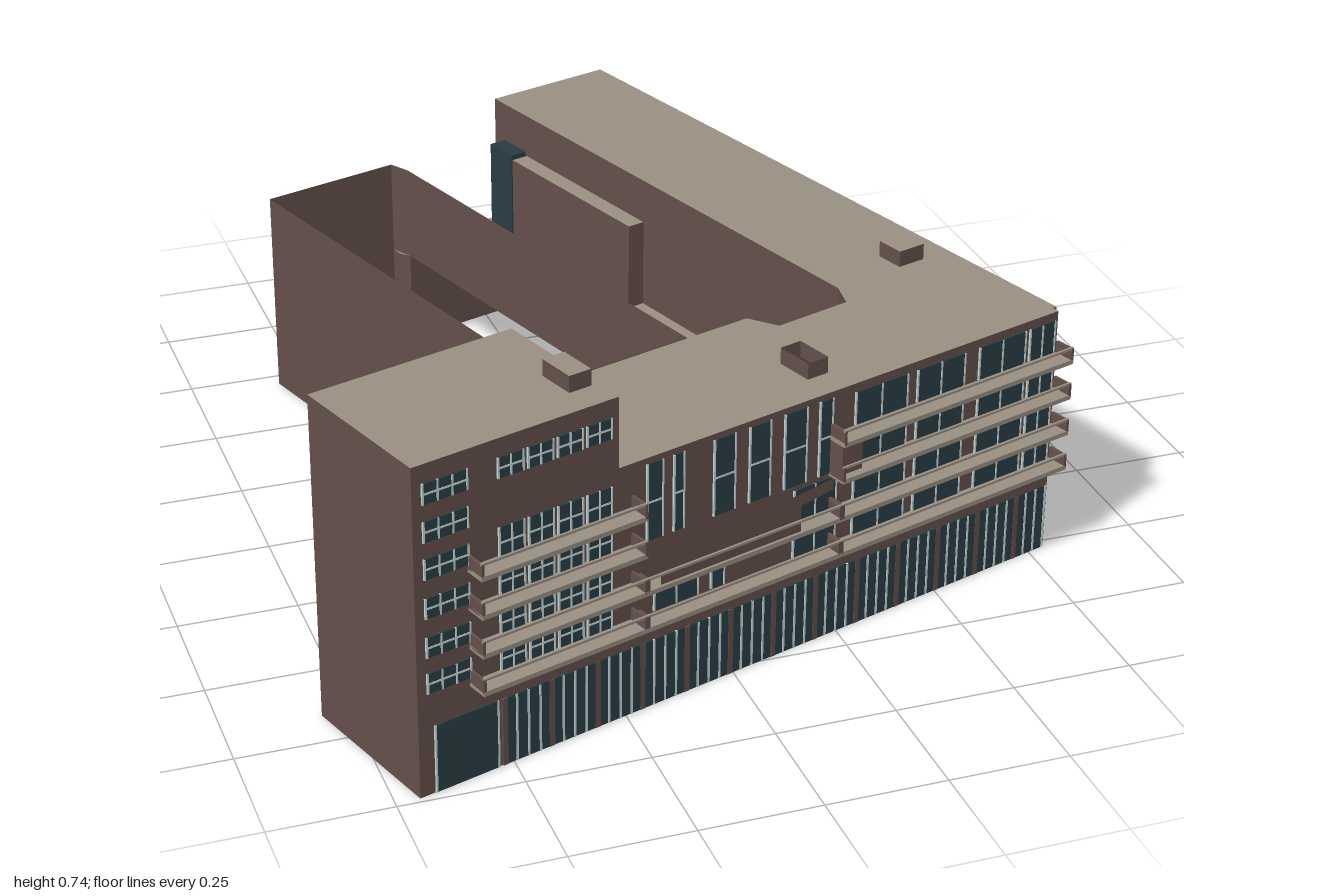
import * as THREE from 'three';

const mat = (name, color, side = THREE.FrontSide) => {
  const m = new THREE.MeshStandardMaterial({ color, side });
  m.name = name;
  return m;
};

export function createModel() {
  const brick = mat('brick', 0x64504b, THREE.DoubleSide);
  const stone = mat('roof stone', 0x9a9083, THREE.DoubleSide);
  const glass = mat('dark glass', 0x293d45);
  const frame = mat('pale frame', 0xc6d4d4);

  const model = new THREE.Group();
  model.name = 'building';
  const block = new THREE.Group();
  block.name = 'block';
  block.rotation.y = 0.3046; // the plan is turned on the site
  model.add(block);

  const add = (parent, name, geo, material, x = 0, y = 0, z = 0) => {
    const m = new THREE.Mesh(geo, material);
    m.name = name;
    m.position.set(x, y, z);
    parent.add(m);
    return m;
  };
  const box = (parent, name, material, w, h, d, x, y, z) =>
    add(parent, name, new THREE.BoxGeometry(w, h, d), material, x, y, z);

  // thin upright walls along a path of [x, z] points
  const walls = (name, pts, y0, y1) => {
    for (let i = 0; i < pts.length - 1; i++) {
      const [ax, az] = pts[i], [bx, bz] = pts[i + 1];
      const geo = new THREE.PlaneGeometry(Math.hypot(bx - ax, bz - az), y1 - y0);
      const m = add(block, name, geo, brick, (ax + bx) / 2, (y0 + y1) / 2, (az + bz) / 2);
      m.rotation.y = -Math.atan2(bz - az, bx - ax);
    }
  };
  const outline = (pts) => pts.map(([x, z]) => new THREE.Vector2(x, -z));
  const roof = (name, pts, y, hole) => {
    const shape = new THREE.Shape(outline(pts));
    if (hole) shape.holes.push(new THREE.Path(outline(hole)));
    add(block, name, new THREE.ShapeGeometry(shape).rotateX(-Math.PI / 2), stone, 0, y, 0);
  };
  const rect = (x, z, w, d) =>
    [[x - w / 2, z - d / 2], [x + w / 2, z - d / 2], [x + w / 2, z + d / 2], [x - w / 2, z + d / 2]];

  // L-shaped main block
  const inner = [[0.305, -0.857], [0.305, 0.387], [0.277, 0.447], [0.1, 0.45], [0.067, 0.385], [-0.32, 0.385]];
  const openVent = rect(0.022, 0.623, 0.05, 0.085);
  walls('frontWall', [[-0.51, 0.733], [0.597, 0.733]], 0, 0.55);
  walls('eastWall', [[0.608, 0.7155], [0.608, -0.857], [0.305, -0.857]], 0, 0.55);
  walls('courtyardWall', inner, 0.25, 0.55);
  walls('rearWall', [[-0.32, 0.385], [-0.51, 0.385]], 0, 0.55);
  roof('mainRoof', [[-0.51, 0.733], [0.597, 0.733], [0.597, 0.7155], [0.608, 0.7155], [0.608, -0.857],
    ...inner, [-0.51, 0.385]], 0.55, openVent);

  // tower at the west end
  walls('towerWall', [[-0.51, 0.733], [-0.966, 0.733], [-0.966, 0.388], [-0.51, 0.388]], 0, 0.7);
  walls('towerUpperWall', [[-0.51, 0.388], [-0.51, 0.733]], 0.55, 0.7);
  roof('towerRoof', [[-0.966, 0.388], [-0.51, 0.388], [-0.51, 0.733], [-0.966, 0.733]], 0.7);

  // low courtyard roof, with a narrow gap beside the wing, and its end walls
  roof('courtyardRoof', [[0.0075, -0.857], [0.605, -0.857], [0.605, 0.3], [0.3, 0.4], [0.277, 0.447],
    [0.1, 0.45], [0.067, 0.385], [-0.32, 0.385], [-0.28, 0.25], [0.02, 0.245], [0.02, -0.795], [0.0075, -0.82]],
  0.25, [[0.268, 0.068], [0.29, 0.1], [0.303, 0.29], [0.28, 0.2]]);
  walls('courtyardEndWall', [[0.305, -0.857], [0.0075, -0.857], [0.0075, -0.82], [0.02, -0.795]], 0, 0.25);
  walls('annexWall', [[-0.28, 0.25], [-0.32, 0.385]], 0, 0.25);
  walls('courtyardScreen', [[0.305, -0.73], [0.265, -0.73], [0.265, -0.28], [0.305, -0.28]], 0.25, 0.45);
  roof('courtyardScreenRoof', [[0.265, -0.73], [0.305, -0.73], [0.305, -0.28], [0.265, -0.28]], 0.45);
  box(block, 'courtyardWindow', glass, 0.04, 0.2, 0.085, 0.284, 0.36, -0.775);
  walls('courtyardShaft', [[-0.037, 0.385], [-0.037, 0.345], [0.02, 0.345], [0.02, 0.385]], 0.25, 0.47);
  box(block, 'shaftSkylight', glass, 0.057, 0.008, 0.04, -0.0085, 0.47, 0.365);

  // roofless walled yard
  walls('yardWall', [[0.0075, -0.845], [-0.315, -0.845], [-0.315, 0.25]], 0, 0.465);
  walls('yardInnerWall', [[-0.315, 0.25], [0.02, 0.25], [0.02, -0.795], [0.0075, -0.845]], 0.25, 0.465);

  // rooftop vents; the middle one is open
  const vent = (pts, y, capped) => {
    walls('roofVent', [...pts, pts[0]], y, y + 0.035);
    if (capped) roof('roofVentCap', pts, y + 0.035);
  };
  vent(rect(-0.55, 0.625, 0.05, 0.085), 0.7, true);
  vent(rect(0.505, 0.353, 0.065, 0.065), 0.55, true);
  vent(openVent, 0.55, false);

  // facades: plates straddle the wall so they show inside and out
  const front = new THREE.Group();
  front.name = 'frontFacade';
  front.position.z = 0.733;
  const east = new THREE.Group();
  east.name = 'eastFacade';
  east.position.x = 0.608;
  east.rotation.y = Math.PI / 2;
  block.add(front, east);

  // framed window: upright frames at both sides and between panes
  const win = (g, x0, x1, y, h, panes, bar = false) => {
    const w = x1 - x0;
    box(g, 'windowGlass', glass, w, h, 0.006, (x0 + x1) / 2, y, 0);
    for (let i = 0; i <= panes; i++)
      box(g, 'windowMullion', frame, 0.004, h, 0.008, x0 + (w * i) / panes, y, 0);
    if (bar) box(g, 'windowBar', frame, w, 0.004, 0.008, (x0 + x1) / 2, y, 0);
  };
  // ground floor glazing with mullions and brick piers
  const shopfront = (g, x0, x1, step) => {
    box(g, 'groundGlazing', glass, x1 - x0, 0.147, 0.006, (x0 + x1) / 2, 0.0745, 0);
    const n = Math.round((x1 - x0) / step);
    for (let i = 0; i <= n; i++) {
      const x = x0 + ((x1 - x0) * i) / n, pier = i % 4 === 0;
      box(g, pier ? 'groundPier' : 'groundMullion', pier ? brick : frame,
        pier ? 0.012 : 0.005, 0.147, 0.008, x, 0.0745, 0);
    }
  };

  // east side: four storeys of paired windows
  shopfront(east, -0.7, 0.85, 0.027);
  for (let i = 0; i < 11; i++) {
    const c = -0.656 + i * 0.144;
    win(east, c - 0.041, c + 0.041, 0.495, 0.048, 3, true);
    for (const y of [0.415, 0.248]) win(east, c - 0.041, c + 0.041, y, 0.048, 2);
    for (const s of [-0.036, 0.036]) win(east, c + s - 0.014, c + s + 0.014, 0.332, 0.055, 1);
  }
  box(east, 'eastLedge', stone, 1.57, 0.012, 0.006, 0.071, 0.21, 0);
  for (const y of [0.29, 0.373]) box(east, 'eastLedge', stone, 1.57, 0.005, 0.006, 0.071, y, 0);

  // front: ground floor
  win(front, -0.93, -0.79, 0.0745, 0.147, 1);
  shopfront(front, -0.775, 0.59, 0.027);

  // front: tower windows
  for (const y of [0.64, 0.562, 0.485, 0.403, 0.32, 0.243]) win(front, -0.944, -0.849, y, 0.043, 3, true);
  for (let i = 0; i < 4; i++) {
    const x = -0.781 + i * 0.066;
    win(front, x, x + 0.055, 0.64, 0.043, 2, true);
    for (const y of [0.485, 0.403, 0.315, 0.237]) win(front, x, x + 0.055, y, 0.064, 2, true);
  }

  // front: middle section
  for (const [a, b] of [[-0.445, -0.409], [-0.382, -0.359], [-0.286, -0.236], [-0.2, -0.15], [-0.114, -0.06], [-0.027, 0.004]])
    win(front, a, b, 0.455, 0.165, 1, true);
  win(front, -0.427, -0.323, 0.245, 0.065, 2);
  win(front, -0.29, -0.259, 0.245, 0.065, 1);
  for (const y of [0.245, 0.325]) win(front, -0.087, 0.018, y, 0.072, 2);

  // sloping parapet standing clear of the wall
  const slope = new THREE.Shape([[-0.44, 0.29], [-0.1, 0.29], [-0.1, 0.35], [-0.02, 0.36], [-0.02, 0.385], [-0.44, 0.345]]
    .map(([x, y]) => new THREE.Vector2(x, y)));
  add(front, 'slopingParapet', new THREE.ShapeGeometry(slope), brick, 0, 0, 0.04);
  box(front, 'parapetEnd', brick, 0.05, 0.06, 0.04, 0.025, 0.415, 0.021);

  // front: east section
  for (const [a, b] of [[0.063, 0.195], [0.222, 0.345], [0.385, 0.508], [0.521, 0.588]])
    for (const y of [0.495, 0.41, 0.325, 0.24]) win(front, a, b, y, 0.072, 2);

  // balconies: slab with a slim rail and end posts; back is the gap to the wall
  const balcony = (x0, x1, y, back = 0) => {
    const w = x1 - x0, c = (x0 + x1) / 2, depth = 0.046;
    box(front, 'balconySlab', stone, w, 0.01, depth - back, c, y, (depth + back) / 2);
    box(front, 'balconyRail', stone, w, 0.005, 0.005, c, y + 0.03, depth - 0.003);
    for (const x of [x0 + 0.003, x1 - 0.003])
      box(front, 'balconyEnd', brick, 0.006, 0.03, depth - back, x, y + 0.015, (depth + back) / 2);
  };
  for (const y of [0.207, 0.288, 0.371, 0.452]) {
    balcony(-0.85, -0.475, y);
    balcony(0.0, 0.603, y);
    if (y < 0.3) balcony(-0.475, 0.0, y, 0.014);
  }
  return model;
}
